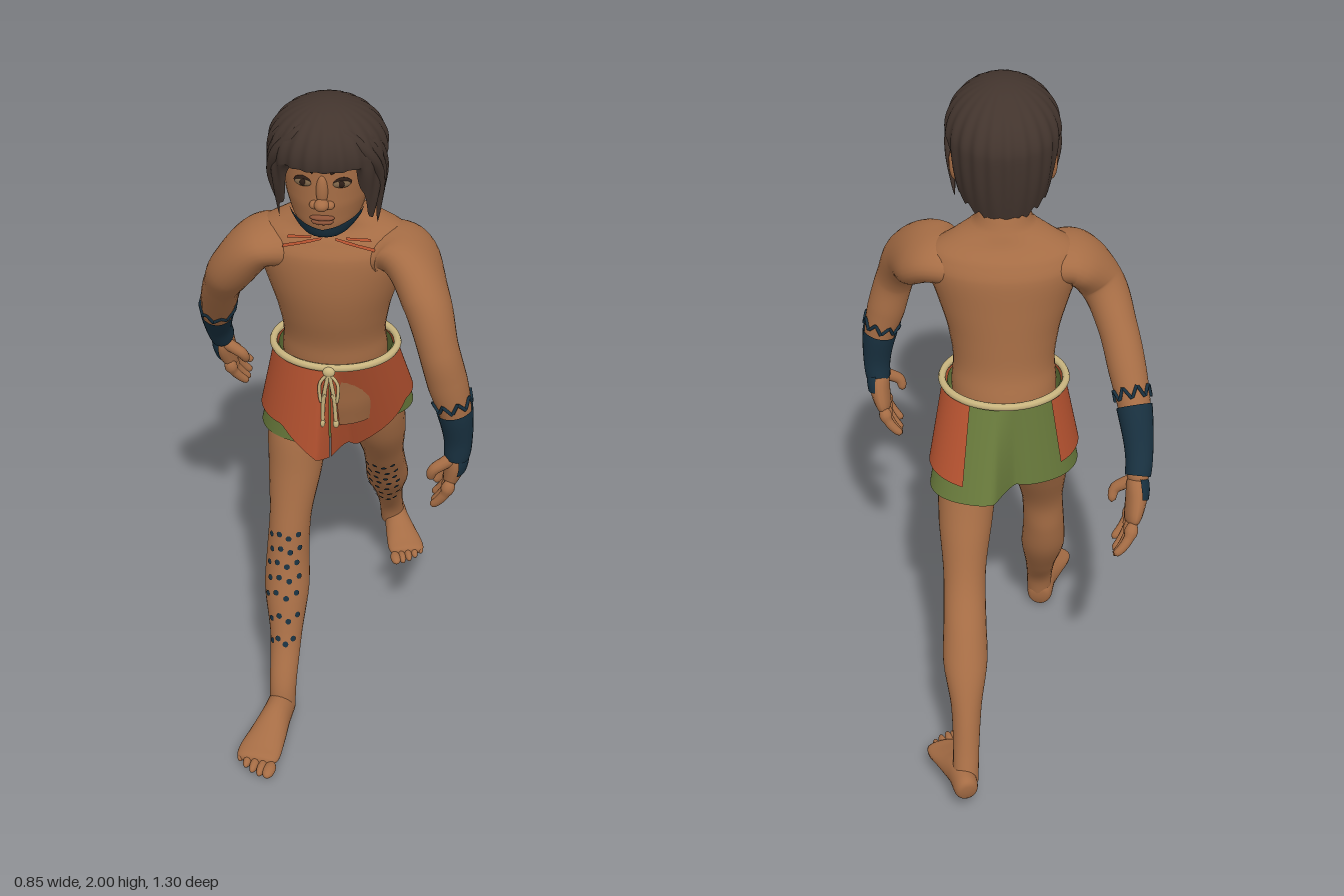
import * as THREE from 'three';
import { mergeVertices } from 'three/addons/utils/BufferGeometryUtils.js';

const V = (x, y, z) => new THREE.Vector3(x, y, z);
const PI = Math.PI, lerp = THREE.MathUtils.lerp, clamp = THREE.MathUtils.clamp;

export function createModel() {
  const root = new THREE.Group();
  const mat = (name, color, open) => new THREE.MeshStandardMaterial({ name, color, side: open ? THREE.DoubleSide : THREE.FrontSide });
  const skin = mat('skin', 0xa66d45), lipTone = mat('lips', 0x8c5338), hair = mat('hair', 0x42342d, true);
  const rust = mat('rust cloth', 0xb3512f, true), green = mat('green cloth', 0x66773a, true);
  const navy = mat('navy paint', 0x18303f, true), cord = mat('cord', 0xc9b57f);
  const dark = mat('dark brown', 0x2c1d16), eyeTone = mat('eye', 0x7d6448);

  const add = (name, geo, material, parent = root) => {
    const m = new THREE.Mesh(geo, material);
    m.name = name;
    parent.add(m);
    return m;
  };

  // Smooth grid over f(u, v)
  const surface = (f, nu, nv, u0 = -PI, u1 = PI, v0 = 0, v1 = 1) => {
    const pos = [], idx = [];
    for (let j = 0; j <= nv; j++) for (let i = 0; i <= nu; i++)
      pos.push(...f(lerp(u0, u1, i / nu), lerp(v0, v1, j / nv)).toArray());
    for (let j = 0; j < nv; j++) for (let i = 0; i < nu; i++) {
      const a = j * (nu + 1) + i, b = a + nu + 1;
      idx.push(a, a + 1, b + 1, a, b + 1, b);
    }
    let g = new THREE.BufferGeometry();
    g.setAttribute('position', new THREE.Float32BufferAttribute(pos, 3));
    g.setIndex(idx);
    g = mergeVertices(g, 1e-5);
    g.computeVertexNormals();
    return g;
  };

  // Elliptical sections [x, y, z, side radius, ref radius] along a curve; flat keeps sections level
  const loft = (pts, { ref = V(0, 0, 1), flat = false, cap = 0 } = {}) => {
    const path = new THREE.CatmullRomCurve3(pts.map(p => V(p[0], p[1], p[2])));
    const rad = new THREE.CatmullRomCurve3(pts.map(p => V(p[3], p[4], 0)));
    return (u, v) => {
      v = clamp(v, 0, 1);
      const r = rad.getPoint(v), T = flat ? V(0, 1, 0) : path.getTangent(v);
      const B = T.clone().cross(ref).normalize(), N = B.clone().cross(T);
      const k = cap ? Math.sqrt(Math.max(0, 1 - Math.abs(2 * v - 1) ** cap)) : 1;
      return path.getPoint(v).addScaledVector(N, Math.cos(u) * Math.max(0, r.y) * k)
        .addScaledVector(B, Math.sin(u) * Math.max(0, r.x) * k);
    };
  };
  const normalAt = (f, u, v) => {
    const e = 0.004;
    return f(u + e, v).sub(f(u - e, v)).cross(f(u, v + e).sub(f(u, v - e))).normalize();
  };
  const raised = (f, d) => (u, v) => f(u, v).addScaledVector(normalAt(f, u, v), d);
  const blob = (name, material, x, y, z, rx, ry, rz, parent) => {
    const m = add(name, new THREE.SphereGeometry(1, 24, 16), material, parent);
    m.position.set(x, y, z);
    m.scale.set(rx, ry, rz);
    return m;
  };
  const string = (name, pts, r, material, closed = false, smooth = true) =>
    add(name, new THREE.TubeGeometry(new THREE.CatmullRomCurve3(pts, closed, 'catmullrom', smooth ? 0.5 : 0), pts.length * 6, r, 8, closed), material);

  // Torso and neck
  const torso = loft([[0, .9, -.02, .13, .12], [0, 1, -.01, .15, .14], [0, 1.13, .02, .152, .138], [0, 1.2, .035, .147, .13],
    [0, 1.3, .055, .162, .14], [0, 1.4, .067, .192, .146], [0, 1.5, .07, .222, .14], [0, 1.55, .07, .205, .115],
    [0, 1.585, .075, .152, .09], [0, 1.63, .09, .082, .08], [0, 1.72, .12, .07, .07]], { flat: true });
  add('torso', surface(torso, 40, 50), skin);

  // Painted collar strokes
  const collar = raised(torso, .006);
  for (const s of [-1, 1]) for (const [u0, u1, v0, v1] of [[.1, .62, .715, .645], [.25, .6, .72, .7]])
    add('chestPaint', surface((a, b) => collar(s * lerp(u0, u1, a), lerp(v0, v1, a) + b * .018), 16, 2, 0, 1), rust);

  // Arms flow out of broad shoulders: the left swings forward, the right swings back
  const arms = {
    left: [[.09, 1.49, .065, .06, .1], [.2, 1.497, .11, .066, .115], [.278, 1.415, .24, .066, .083], [.318, 1.3, .298, .057, .062],
      [.345, 1.2, .302, .057, .06], [.37, 1.1, .3, .046, .052], [.38, 1.0, .295, .035, .037], [.375, .93, .29, .032, .042]],
    right: [[-.09, 1.49, .065, .06, .1], [-.2, 1.497, .09, .066, .115], [-.28, 1.41, .09, .066, .08], [-.325, 1.31, .01, .057, .062],
      [-.35, 1.22, -.065, .055, .058], [-.372, 1.12, -.145, .046, .05], [-.382, 1.02, -.22, .035, .037], [-.375, .95, -.27, .032, .042]],
  };
  for (const [side, pts] of Object.entries(arms)) {
    const arm = loft(pts, { cap: 24 });
    add(side + 'Arm', surface(arm, 28, 70), skin);
    add(side + 'WristBand', surface(raised(arm, .005), 24, 16, -PI, PI, .695, .95), navy);
    const edge = raised(arm, .003), zig = [];
    for (let i = 0; i < 16; i++) zig.push(edge(i * PI / 8, i % 2 ? .635 : .675));
    string(side + 'ZigzagPaint', zig, .005, navy, true, false);
  }

  // Hands, with fingers curling inward and paint over the back
  const hand = (side, x, y, z, slope) => {
    const P = (dx, dy, dz, a, b) => [side * (x + dx), y + dy, z + dz + slope * dy, a, b];
    const part = (name, pts, n) => add(name, surface(loft(pts, { cap: 8 }), 12, n), skin);
    const palm = loft([P(0, .03, 0, .03, .036), P(0, -.02, 0, .032, .05), P(-.01, -.07, -.005, .026, .056), P(-.02, -.1, -.005, .018, .05)], { cap: 8 });
    add('palm', surface(palm, 16, 16), skin);
    add('handPaint', surface(raised(palm, .004), 12, 8, -side * PI / 2 - 1.3, -side * PI / 2 + 1.3, .06, .42), navy);
    for (let i = 0; i < 4; i++) {
      const dz = (i - 1.5) * .029, len = [.8, 1, 1.05, .95][i];
      part('finger', [P(-.012, -.07, dz, .015, .015), P(-.024, -.07 - .045 * len, dz * 1.2, .015, .015),
        P(-.045, -.07 - .08 * len, dz * 1.25, .013, .013), P(-.068, -.07 - .105 * len, dz * 1.2, .011, .011)], 14);
    }
    part('thumb', [P(0, .005, .02, .02, .02), P(-.035, -.015, .035, .018, .018), P(-.062, -.035, .045, .016, .016), P(-.07, -.07, .045, .012, .012)], 14);
  };
  hand(1, .375, .95, .285, .2);
  hand(-1, .375, .95, -.265, .5);

  // Legs in mid stride, with rows of painted dots on the shins
  const legs = {
    right: [[-.12, .05, .36, .038, .04], [-.12, .13, .342, .04, .042], [-.12, .25, .265, .047, .055], [-.125, .4, .19, .067, .078],
      [-.125, .5, .16, .063, .075], [-.12, .6, .142, .062, .07], [-.11, .75, .085, .08, .09], [-.105, .88, .04, .088, .11], [-.09, 1, 0, .07, .1]],
    left: [[.122, .11, -.58, .038, .05], [.12, .18, -.55, .038, .045], [.118, .3, -.47, .045, .068], [.12, .42, -.38, .066, .088],
      [.12, .5, -.32, .063, .085], [.12, .6, -.24, .062, .08], [.115, .75, -.145, .08, .1], [.105, .88, -.09, .088, .1], [.09, 1, -.06, .07, .08]],
  };
  const dotGeo = new THREE.CircleGeometry(.009, 10);
  for (const [side, pts] of Object.entries(legs)) {
    const leg = loft(pts, { flat: true });
    add(side + 'Leg', surface(leg, 28, 50), skin);
    for (let row = 0; row < 7; row++) for (let col = 0; col < 4; col++) {
      const u = -.8 + col * .45 + (row % 2) * .12, v = lerp(.25, .585, row / 6) + (col % 2) * .012;
      const dot = add('shinDot', dotGeo, navy), n = normalAt(leg, u, v);
      dot.position.copy(leg(u, v)).addScaledVector(n, .003);
      dot.quaternion.setFromUnitVectors(V(0, 0, 1), n);
    }
  }

  // Feet, built heel to toe with flat soles
  const foot = (side, x, y, z, turn, size) => {
    const g = new THREE.Group();
    g.name = side > 0 ? 'leftFoot' : 'rightFoot';
    const f = loft([[0, .045, 0, .034, .042], [0, .05, .03, .042, .054], [0, .05, .1, .045, .056], [side * .006, .036, .18, .058, .04],
      [side * .012, .024, .25, .067, .026], [side * .012, .02, .295, .064, .02]], { ref: V(0, 1, 0), cap: 12 });
    add('footBody', surface((u, v) => { const p = f(u, v); p.y = Math.max(p.y, 0); return p; }, 24, 36), skin, g);
    for (let i = 0; i < 5; i++)
      blob('toe', skin, side * (-.036 + i * .025), .016, .312 - i * i * .0035, i ? .0135 : .019, .016, .036, g);
    g.position.set(x, y, z);
    g.rotation.y = side * turn;
    g.scale.setScalar(size);
    root.add(g);
  };
  foot(-1, -.118, .003, .318, .14, .965);
  foot(1, .115, .07, -.645, .25, .86);

  // Shorts and wrap share one shape: each half follows its own thigh
  const cloth = (hem, d) => (u, v) => {
    const y = lerp(hem(u), 1.135, v), s = (1.135 - y) / .255, k = clamp(Math.sin(u) * 7, -1, 1);
    const crease = 1 - .1 * s * Math.exp(-(((Math.abs(u) - PI) / .2) ** 2));
    const sweep = .04 * s * Math.max(0, k) * (1 + Math.cos(u)) / 2;
    return V((lerp(.172, .222, s) + d) * Math.sin(u), y,
      lerp(.012, -.045 - .05 * k, s) - sweep + (lerp(.152, .192, s) + d) * Math.cos(u) * crease);
  };
  add('shorts', surface(cloth(u => .872 + .01 * Math.cos(2 * u), -.008), 120, 12), green);
  const wrap = cloth(u => .925 - .145 * Math.max(0, 1 - Math.abs(u - .25) / .95), .006);
  add('leftWrapPanel', surface(wrap, 48, 12, .008, 2.55), rust);
  add('rightWrapPanel', surface(wrap, 48, 12, -2.3, -.008), rust);

  // Rope belt with knot and hanging ends
  const ring = [];
  for (let i = 0; i < 24; i++) ring.push(V(.18 * Math.sin(i * PI / 12), 1.138, .014 + .157 * Math.cos(i * PI / 12)));
  string('ropeBelt', ring, .011, cord, true);
  blob('beltKnot', cord, 0, 1.13, .18, .018, .016, .013);
  for (const s of [-1, 1]) {
    string('ropeEnd', [V(0, 1.13, .184), V(s * .014, 1.05, .182), V(s * .02, .96, .176)], .006, cord);
    string('ropeLoop', [V(0, 1.13, .184), V(s * .026, 1.09, .184), V(s * .022, 1.03, .182), V(s * .008, 1.06, .186)], .005, cord);
    blob('ropeTip', cord, s * .02, .955, .176, .009, .014, .009);
  }

  // Head
  const head = loft([[0, 1.63, .25, .004, .008], [0, 1.64, .24, .055, .065], [0, 1.68, .2, .095, .122], [0, 1.74, .185, .115, .143],
    [0, 1.8, .18, .124, .148], [0, 1.88, .182, .127, .148], [0, 1.94, .195, .085, .095], [0, 1.965, .2, .008, .008]], { flat: true });
  add('head', surface(head, 40, 40), skin);
  const jaw = raised(head, .006);
  add('chinBeard', surface((u, b) => jaw(u, lerp(.6 + .65 * Math.abs(u), 1.75 + .5 * Math.abs(u), b) / 7), 32, 8, -1.25, 1.25), navy);
  blob('noseBridge', skin, 0, 1.785, .326, .016, .045, .014);
  blob('noseTip', skin, 0, 1.748, .338, .02, .017, .022);
  blob('upperLip', lipTone, 0, 1.703, .323, .034, .008, .012);
  blob('lowerLip', lipTone, 0, 1.69, .32, .03, .009, .013);
  for (const s of [-1, 1]) {
    blob('nostril', skin, s * .02, 1.744, .328, .014, .012, .015);
    blob('eyeRim', dark, s * .052, 1.807, .314, .027, .015, .006).rotation.y = s * .3;
    blob('eye', eyeTone, s * .052, 1.804, .317, .024, .011, .007).rotation.y = s * .3;
    blob('iris', dark, s * .051, 1.805, .321, .009, .01, .006);
    string('eyebrow', [V(s * .022, 1.84, .329), V(s * .055, 1.851, .319), V(s * .09, 1.84, .29)], .0055, dark);
    blob('ear', skin, s * .132, 1.77, .155, .018, .055, .03).rotation.y = s * -.4;
    blob('earHollow', lipTone, s * .146, 1.775, .158, .006, .03, .014).rotation.y = s * -.4;
  }

  // Hair: ridged dome whose hem parts at the face and the ears
  const hemTable = [[0, 1.91], [.6, 1.89], [.95, 1.73], [1.2, 1.66], [1.4, 1.8], [1.8, 1.82], [2, 1.69], [3.2, 1.635]];
  const hairHem = u => {
    const a = Math.min(Math.abs(u), 3.19), i = hemTable.findIndex(h => h[0] > a);
    const [p, q] = [hemTable[i - 1], hemTable[i]];
    return lerp(p[1], q[1], (a - p[0]) / (q[0] - p[0])) + .01 * Math.sin(22 * u);
  };
  const hairShape = (u, v) => {
    const w = 1 - v, phi = Math.min(w / .6, 1) * PI / 2, t = Math.max(0, (w - .6) / .4);
    const r = Math.sin(phi) * (1 - .15 * t * t) * (1 + .02 * Math.sin(22 * u) * Math.sin(phi));
    const y = t > 0 ? lerp(1.86, hairHem(u), t) : 1.86 + .138 * Math.cos(phi);
    return V(.161 * r * Math.sin(u), y, .187 + .025 * Math.cos(phi) + .186 * r * Math.cos(u));
  };
  add('hair', surface(hairShape, 176, 28), hair);
  for (const s of [-1, 1]) for (let i = 0; i < 3; i++) {
    const a = i * .022;
    add('hairLock', surface(loft([[s * .01, 1.972, .25 - a, .01, .01], [s * (.06 + a), 1.945 - a * .35, .305 - a, .018, .018],
      [s * (.118 + a * .4), 1.885, .292 - a * 1.2, .018, .02], [s * (.146 + a * .1), 1.8, .245 - a * 1.3, .014, .017],
      [s * .137, 1.66 + a * .5 - s * .025, .205 - a, .003, .003]], { cap: 24 }), 12, 24), hair);
  }
  return root;
}
